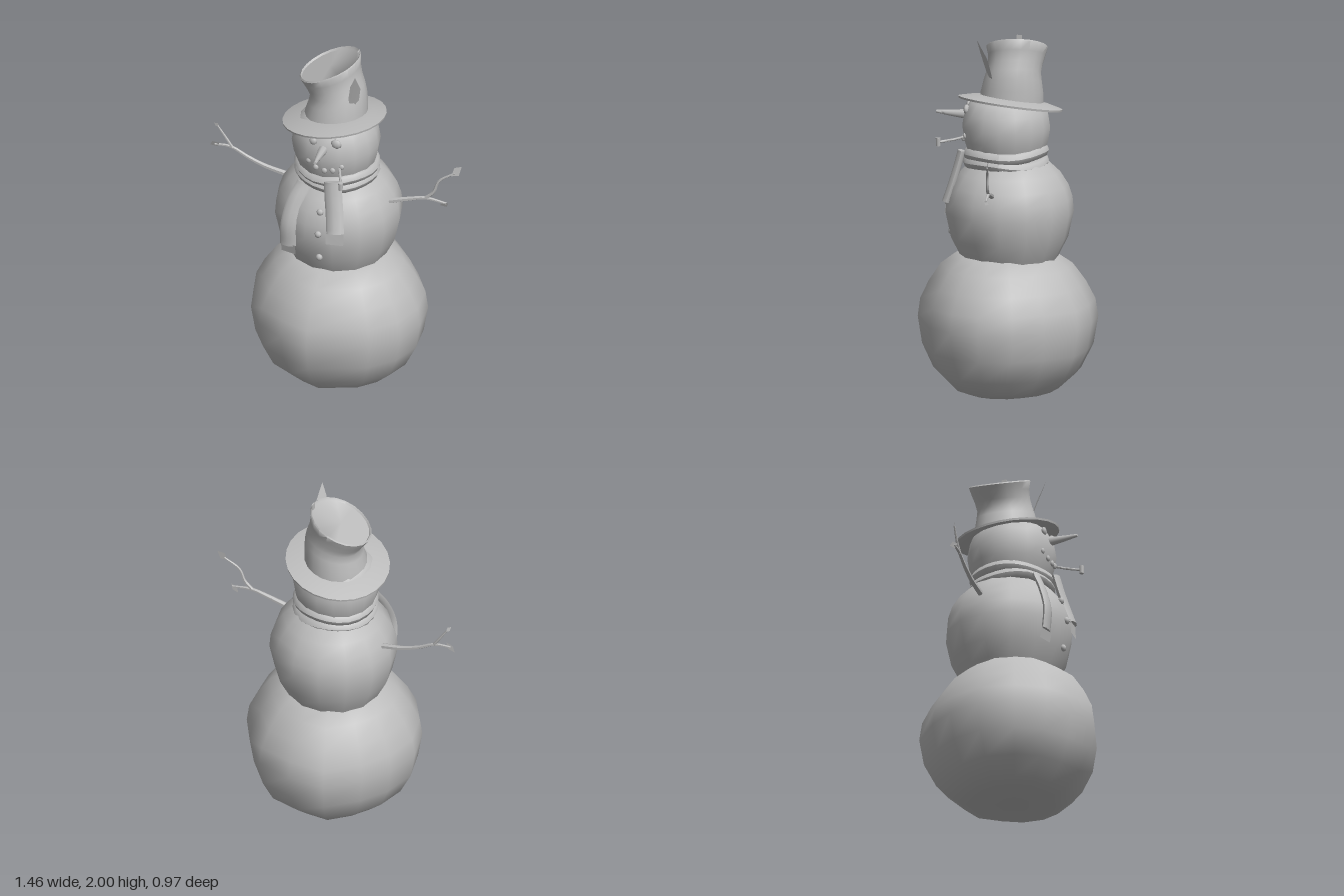
import * as THREE from 'three';
import { toCreasedNormals } from 'three/addons/utils/BufferGeometryUtils.js';

const V = (x, y, z) => new THREE.Vector3(x, y, z);
const circle = (n, turn = 0) => Array.from({ length: n }, (_, i) => {
  const a = (i + turn) / n * Math.PI * 2;
  return [Math.cos(a), Math.sin(a)];
});

// Closed skin over rings [y, scale, centreX, centreZ]; outline runs from +x towards +z.
function loft(rings, outline, warp) {
  const n = outline.length, pos = [], index = [];
  const add = (x, y, z) => pos.push(x, y + (warp ? warp(x, z, y) : 0), z);
  for (const [y, s, cx, cz] of rings)
    for (const [ox, oz] of outline) add(cx + ox * s, y, cz + oz * s);
  for (let i = 0; i < rings.length - 1; i++)
    for (let j = 0; j < n; j++) {
      const a = i * n + j, c = i * n + (j + 1) % n;
      index.push(a, a + n, c, c, a + n, c + n);
    }
  const last = (rings.length - 1) * n, mid = rings.length * n;
  const end = rings[rings.length - 1];
  add(rings[0][2], rings[0][0], rings[0][3]);
  add(end[2], end[0], end[3]);
  for (let j = 0; j < n; j++) {
    const k = (j + 1) % n;
    index.push(mid, j, k, mid + 1, last + k, last + j);
  }
  const g = new THREE.BufferGeometry();
  g.setAttribute('position', new THREE.Float32BufferAttribute(pos, 3));
  g.setIndex(index);
  return toCreasedNormals(g, 0.9);
}

// Cylinder bent along a path, with half-widths along and across the side direction.
function bend(points, side, w, t, taper = 1, sides = 8) {
  const curve = new THREE.CatmullRomCurve3(points.map(p => V(...p)));
  const g = new THREE.CylinderGeometry(1, 1, 1, sides, 14);
  const p = g.attributes.position, s0 = V(...side);
  for (let i = 0; i < p.count; i++) {
    const u = THREE.MathUtils.clamp(p.getY(i) + 0.5, 0, 1), k = 1 + (taper - 1) * u;
    const tan = curve.getTangentAt(u);
    const s = s0.clone().addScaledVector(tan, -s0.dot(tan)).normalize();
    const n = s.clone().cross(tan);
    const v = curve.getPointAt(u).addScaledVector(s, p.getX(i) * w * k).addScaledVector(n, p.getZ(i) * t * k);
    p.setXYZ(i, v.x, v.y, v.z);
  }
  return toCreasedNormals(g, 0.9);
}

// Flat plate as a fan of corner points.
function plate(corners) {
  const g = new THREE.BufferGeometry().setFromPoints(corners.map(c => V(...c)));
  const index = [];
  for (let i = 1; i < corners.length - 1; i++) index.push(0, i, i + 1);
  g.setIndex(index);
  g.computeVertexNormals();
  return g;
}

export function createModel() {
  const model = new THREE.Group();
  model.name = 'snowman';
  const grey = new THREE.MeshStandardMaterial({ color: 0xbcbcbc, side: THREE.DoubleSide });
  grey.name = 'plain grey';
  const add = (name, geometry) => {
    const m = new THREE.Mesh(geometry, grey);
    m.name = name;
    model.add(m);
    return m;
  };
  const pebble = (name, x, y, z, r, flat = 0.6) => {
    const m = add(name, new THREE.SphereGeometry(r, 8, 6));
    m.position.set(x, y, z);
    m.scale.z = flat;
    return m;
  };

  // Lower snowball with an uneven outline
  const lump = [[0.52, 0.06], [0.46, 0.22], [0.33, 0.355], [0.01, 0.48], [-0.16, 0.42], [-0.31, 0.34],
    [-0.41, 0.19], [-0.46, 0], [-0.41, -0.19], [-0.31, -0.34], [-0.15, -0.49], [0.06, -0.49],
    [0.26, -0.45], [0.4, -0.29], [0.5, -0.13]].map(([x, z]) => [x - 0.03, z]);
  add('lowerBall', loft([[0, 0.45], [0.03, 0.62], [0.12, 0.82], [0.25, 0.95], [0.4, 1], [0.5, 0.97],
    [0.6, 0.87], [0.7, 0.73], [0.765, 0.55], [0.78, 0.4]].map(([y, s]) => [y, s, 0.03, 0]), lump));

  // Middle snowball and head
  add('middleBall', loft([[0.74, 0.26], [0.77, 0.275], [0.86, 0.32], [1, 0.35], [1.08, 0.343], [1.15, 0.32],
    [1.22, 0.275], [1.3, 0.19]].map(([y, s]) => [y, s, 0.02, -0.03]), circle(14)));
  add('head', loft([[1.25, 0.17], [1.33, 0.21], [1.4, 0.232], [1.47, 0.243], [1.55, 0.23], [1.61, 0.195],
    [1.64, 0.13]].map(([y, s]) => [y, s, 0.012, -0.01]), circle(16)));

  // Hat: drooping brim, crumpled crown with a sloping top
  const droop = (x, z) => 0.15 * x + 0.115 * (z + 0.03) - 0.42 * (x * x + (z + 0.03) ** 2);
  add('hatBrim', loft([[1.622, 0.13], [1.622, 0.21], [1.622, 0.283], [1.634, 0.285], [1.638, 0.21], [1.638, 0.13]]
    .map(([y, s]) => [y, s, -0.005, -0.03]), circle(24), droop));
  const slope = (x, z, y) => {
    const k = THREE.MathUtils.clamp((y - 1.6) / 0.3, 0, 1);
    return (0.13 + 0.31 * k) * (x + 0.03 * k) - 0.06 * k * (z + 0.06);
  };
  add('hatCrown', loft([[1.6, 0.177, 0, -0.035], [1.66, 0.172, 0.003, -0.04], [1.72, 0.16, 0.008, -0.045],
    [1.765, 0.15, 0.006, -0.05], [1.81, 0.15, -0.012, -0.055], [1.86, 0.157, -0.03, -0.06],
    [1.905, 0.168, -0.04, -0.06], [1.912, 0.163, -0.04, -0.06], [1.9, 0.155, -0.04, -0.06]], circle(20), slope));

  // Feather and tag on the hat
  add('feather', plate([[0.115, 1.71, 0.045], [0.162, 1.78, 0.045], [0.178, 1.87, 0.065], [0.168, 1.975, 0.125],
    [0.135, 1.9, 0.112], [0.115, 1.8, 0.085]]));
  add('hatTag', new THREE.BoxGeometry(0.006, 0.07, 0.03)).position.set(0.11, 1.965, -0.1);

  // Face: nose, eyes and pebble mouth
  add('nose', bend([[0.014, 1.53, 0.2], [0.018, 1.535, 0.29], [0.024, 1.543, 0.375]], [1, 0, 0], 0.028, 0.028, 0.3));
  pebble('rightEye', -0.045, 1.57, 0.207, 0.022);
  const eye = pebble('leftEye', 0.085, 1.57, 0.197, 0.028);
  eye.scale.x = 1.1;
  for (const [x, y] of [[-0.07, 1.44], [-0.025, 1.412], [0.025, 1.402], [0.07, 1.407], [0.115, 1.43]])
    pebble('mouthPebble', x, y, Math.sqrt(0.054 - (x - 0.012) ** 2) - 0.008, 0.017);

  // Pipe
  add('pipeStem', bend([[0.1, 1.425, 0.19], [0.13, 1.41, 0.26], [0.16, 1.4, 0.335]], [1, 0, 0], 0.007, 0.007));
  add('pipeBowl', new THREE.CylinderGeometry(0.014, 0.012, 0.045, 8)).position.set(0.16, 1.4, 0.34);

  // Scarf: two wavy rolls, hanging tails and fringes
  const roll = (name, y, R, wave) => {
    const g = new THREE.TorusGeometry(R, 0.037, 8, 24).rotateX(Math.PI / 2);
    const p = g.attributes.position;
    for (let i = 0; i < p.count; i++) {
      const a = Math.atan2(p.getZ(i), p.getX(i));
      p.setY(i, p.getY(i) + wave * Math.sin(a) + 0.008 * Math.sin(3 * a + wave * 90));
    }
    g.computeVertexNormals();
    add(name, g).position.set(0.018, y, -0.01);
  };
  roll('scarfUpperRoll', 1.33, 0.198, -0.008);
  roll('scarfLowerRoll', 1.28, 0.198, 0.006);
  add('scarfRightTail', bend([[-0.1, 1.27, 0.19], [-0.14, 1.17, 0.24], [-0.162, 1.04, 0.278], [-0.167, 0.91, 0.272]],
    [1, 0, -0.05], 0.046, 0.018));
  add('scarfLeftTail', bend([[0.075, 1.34, 0.225], [0.085, 1.26, 0.245], [0.1, 1.17, 0.27], [0.115, 1.06, 0.305]],
    [1, 0, -0.1], 0.05, 0.022));
  add('rightFringe', plate([[-0.21, 0.92, 0.268], [-0.21, 0.855, 0.255], [-0.122, 0.855, 0.275], [-0.122, 0.92, 0.288]]));
  add('leftFringe', plate([[0.065, 1.07, 0.315], [0.065, 0.99, 0.318], [0.163, 0.99, 0.305], [0.163, 1.07, 0.3]]));

  // Buttons
  for (const [y, z] of [[1.165, 0.28], [1.04, 0.312], [0.88, 0.293]]) pebble('button', 0.02, y, z, 0.02, 0.8);

  // Twig arms with side branches and leaves
  const twig = (name, pts, r, taper) => add(name, bend(pts, [0, 0, 1], r, r, taper, 6));
  twig('rightArm', [[-0.28, 1.135, -0.06], [-0.42, 1.165, -0.058], [-0.52, 1.205, -0.055], [-0.61, 1.252, -0.05],
    [-0.7, 1.256, -0.04]], 0.016, 0.4);
  twig('rightBranch', [[-0.6, 1.245, -0.05], [-0.64, 1.305, -0.05], [-0.685, 1.375, -0.045]], 0.009, 0.5);
  twig('leftArm', [[0.32, 1.14, 0.015], [0.44, 1.175, 0.005], [0.53, 1.195, -0.002], [0.65, 1.18, -0.008]], 0.016, 0.4);
  twig('leftBranch', [[0.53, 1.195, -0.002], [0.575, 1.24, -0.005], [0.605, 1.315, -0.01], [0.69, 1.375, -0.025]],
    0.01, 0.5);
  const leaf = (x, y, z, w, h, dz) => add('leaf', plate([[x - w, y - h, z - dz], [x + w * 0.5, y - h * 0.8, z],
    [x + w, y + h, z + dz], [x - w * 0.5, y + h * 0.7, z]]));
  leaf(-0.7, 1.256, -0.042, 0.03, 0.018, 0.01);
  leaf(-0.69, 1.38, -0.045, -0.012, 0.014, 0.008);
  leaf(0.7, 1.387, -0.028, 0.026, 0.03, -0.01);
  leaf(0.635, 1.172, -0.008, 0.027, 0.017, 0.01);

  return model;
}
